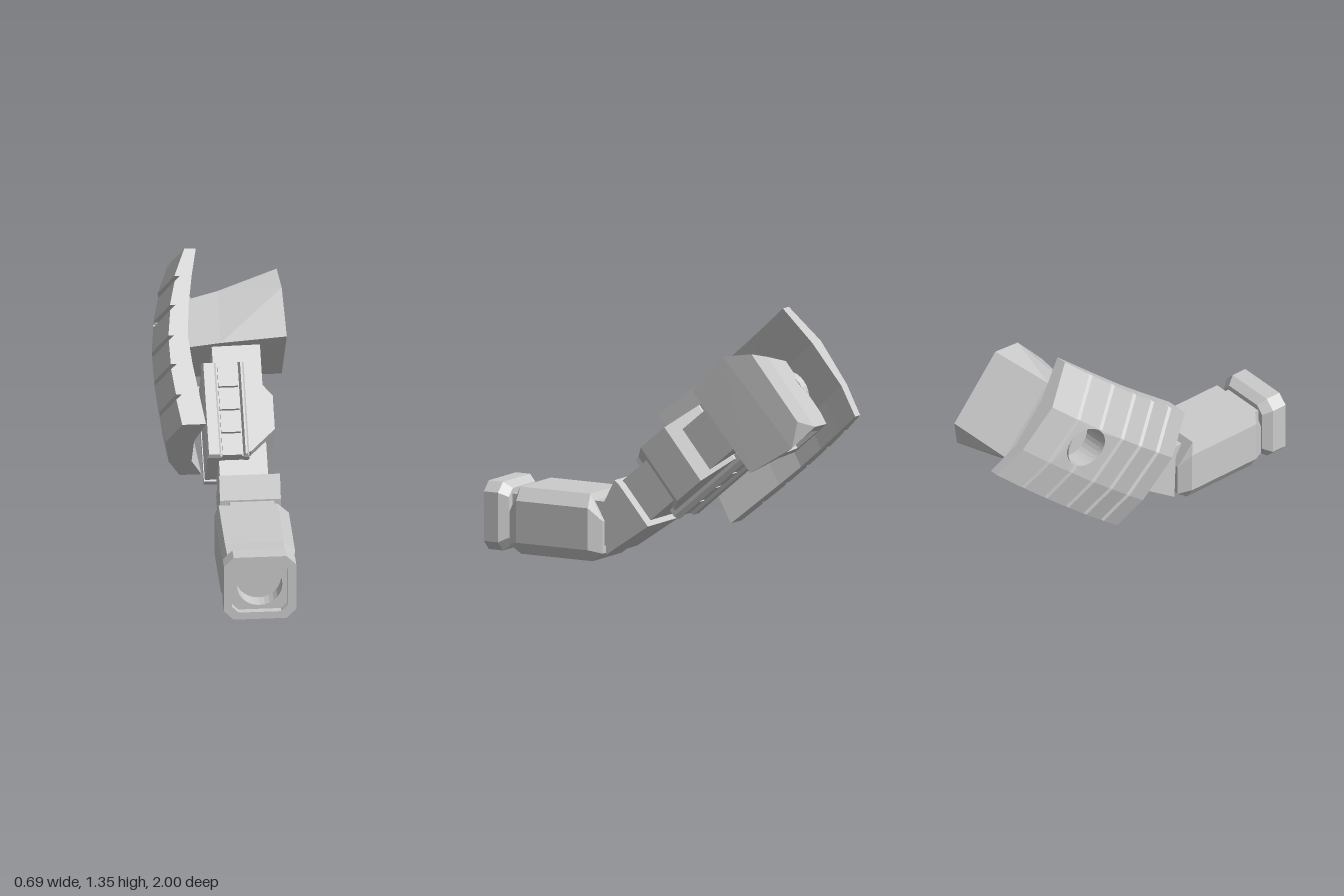
import * as THREE from 'three';
import { ConvexGeometry } from 'three/addons/geometries/ConvexGeometry.js';

const mat = new THREE.MeshStandardMaterial({ color: 0xcccccc, flatShading: true, side: THREE.DoubleSide });

function add(parent, name, geometry) {
  const m = new THREE.Mesh(geometry, mat);
  m.name = name;
  parent.add(m);
}
const hull = (pts) => new ConvexGeometry(pts.map((p) => new THREE.Vector3(...p)));

// Box given by its limits on each axis
function block(x0, x1, y0, y1, z0, z1) {
  return new THREE.BoxGeometry(x1 - x0, y1 - y0, z1 - z0)
    .translate((x0 + x1) / 2, (y0 + y1) / 2, (z0 + z1) / 2);
}
// Eight corners of a box, for hulls
function corners(x0, x1, y0, y1, z0, z1) {
  const out = [];
  for (const x of [x0, x1]) for (const y of [y0, y1]) for (const z of [z0, z1]) out.push([x, y, z]);
  return out;
}
// Extrude a shape by 1 and move every vertex by a rule
function shaped(shape, rule) {
  const g = new THREE.ExtrudeGeometry(shape, { depth: 1, bevelEnabled: false, curveSegments: 14 });
  const p = g.attributes.position;
  for (let i = 0; i < p.count; i++) p.setXYZ(i, ...rule(p.getX(i), p.getY(i), p.getZ(i)));
  g.computeVertexNormals();
  return g;
}
// Piecewise linear lookup
function lerpTable(keys, vals, t) {
  let i = 0;
  while (i < keys.length - 2 && t > keys[i + 1]) i++;
  return vals[i] + (vals[i + 1] - vals[i]) * (t - keys[i]) / (keys[i + 1] - keys[i]);
}
const poly = (pts) => new THREE.Shape(pts.map((p) => new THREE.Vector2(...p)));
const octagon = (w, h, c) => [[-w + c, -h], [w - c, -h], [w, -h + c], [w, h - c],
  [w - c, h], [-w + c, h], [-w, h - c], [-w, -h + c]];

function buildMuzzle(root) {
  const cx = 0.103, cy = 0.19;
  const rim = poly(octagon(0.187, 0.18, 0.05));
  rim.holes.push(poly(octagon(0.145, 0.14, 0.035)));
  add(root, 'muzzleRim', shaped(rim, (x, y, d) => [cx + x, cy + y, 0.965 + 0.035 * d]));
  const bored = poly(octagon(0.187, 0.18, 0.05));
  bored.holes.push(new THREE.Path().absarc(0, 0, 0.118, 0, Math.PI * 2, true));
  add(root, 'muzzleBody', shaped(bored, (x, y, d) => [cx + x, cy + y, 0.915 + 0.05 * d]));
  add(root, 'muzzleTaper', shaped(bored, (x, y, d) => {
    const k = d < 0.5 && Math.hypot(x, y) > 0.13 ? 0.82 : 1;
    return [cx + x * k, cy + y * k, 0.87 + 0.045 * d];
  }));
  add(root, 'muzzleNeck', block(-0.02, 0.22, 0.05, 0.31, 0.78, 0.88));
}

function buildForearm(root) {
  add(root, 'forearm', hull([
    ...corners(-0.085, 0.3, 0.07, 0.29, 0.37, 0.8),
    ...corners(-0.065, 0.24, 0.35, 0.355, 0.39, 0.81),
    ...corners(-0.04, 0.25, 0.005, 0.012, 0.37, 0.8),
    ...corners(-0.04, 0.25, 0.05, 0.22, 0.31, 0.87),
  ]));
  add(root, 'wrist', block(0, 0.23, 0.09, 0.32, 0.26, 0.4));
  const profile = [[0.28, 0.05], [0.29, 0.33], [0.23, 0.445], [0.2, 0.42], [0.03, 0.22]];
  add(root, 'elbow', hull(profile.flatMap(([z, y]) => [[-0.05, y, z], [0.265, y, z]])));
}

// The tilted upper arm: u runs up the arm (local -z), v across it (local y)
function buildUpperArm(arm) {
  add(arm, 'upperArm', block(-0.045, 0.205, -0.165, 0.09, -0.55, 0.21));
  add(arm, 'armHousing', block(-0.105, 0.1, -0.2, 0.14, -0.385, 0.12));
  // Bevelled plate on the outer side
  const plan = [[0.08, -0.11], [0.12, -0.1], [0.25, 0.02], [0.25, 0.205], [0.12, 0.37], [0.08, 0.38]];
  add(arm, 'sidePlate', hull(plan.flatMap(([x, u]) => [[x, 0.15, -u], [x, -0.19, -u]])));
  // Rails with a row of four panels between them, above and below
  for (const s of [1, -1]) {
    const ladder = new THREE.Group();
    ladder.name = s > 0 ? 'upperLadder' : 'lowerLadder';
    const at = (h) => -0.03 + s * h;
    for (const [x0, x1] of [[-0.11, -0.035], [0.08, 0.11]]) {
      add(ladder, 'rail', hull([
        ...corners(x0, x1, at(0.14), at(0.18), -0.4, 0.13),
        ...corners(x0 + 0.01, x1 - 0.01, at(0.195), at(0.205), -0.39, 0.12),
      ]));
    }
    const [low, high] = [at(0.14), at(0.19)].sort((a, b) => a - b);
    for (let i = 0; i < 4; i++) {
      const u = -0.12 + i * 0.128;
      add(ladder, 'panel', block(-0.028, 0.073, low, high, -u - 0.113, -u));
    }
    arm.add(ladder);
  }
}

function buildShoulder(arm) {
  // Top and bottom of the narrow inner part at a given x
  const top = (x) => 0.135 + 0.2 * x;
  const bottom = (x) => -0.31 - 0.05 * x;
  // Outer block, widening from the inner frame to the end face
  const end = [[0.52, 0.18], [0.78, 0.215], [0.92, 0.13], [0.92, -0.3], [0.81, -0.39], [0.53, -0.35]];
  add(arm, 'shoulderBlock', hull([
    ...end.map(([u, v]) => [0.34 - Math.max(0, u - 0.65) * 0.1, v, -u]),
    ...corners(0, 0.001, bottom(0), top(0), -0.805, -0.515),
  ]));
  // Inner frame, open below, with a roof over the opening
  const frame = poly([[-0.19, 0.51], [0, 0.515], [0, 0.805], [-0.19, 0.77]]);
  frame.holes.push(poly([[-0.15, 0.56], [-0.15, 0.72], [-0.03, 0.75], [-0.03, 0.56]]));
  add(arm, 'shoulderFrame', shaped(frame, (x, u, d) => [x, d > 0.5 ? top(x) : bottom(x), -u]));
  const roof = poly([[-0.15, 0.56], [-0.03, 0.56], [-0.03, 0.75], [-0.15, 0.72]]);
  add(arm, 'shoulderRoof', shaped(roof, (x, u, d) => [x, d > 0.5 ? top(x) : -0.05, -u]));
}

function buildShield(arm) {
  const shield = new THREE.Group();
  shield.name = 'shield';
  arm.add(shield);
  const U = [0, 0.17, 0.34, 0.5, 0.67, 0.83, 0.98], V = [-0.385, -0.2, 0.07, 0.3];
  const base = [-0.238, -0.26, -0.277, -0.28, -0.262, -0.23, -0.17];
  const inner = [-0.115, -0.14, -0.165, -0.18, -0.165, -0.14, -0.11];
  const xOut = (u, v) => lerpTable(U, base, u) + lerpTable(V, [0.02, -0.045, -0.075, 0], v);
  const xIn = (u, v) => lerpTable(U, inner, u) + lerpTable(V, [0.01, -0.05, -0.05, 0], v);
  // Round hole, centred on the seam between the fourth and fifth bands
  const hu = U[4], hv = -0.045, r = 0.11, q = Math.PI / 2;

  for (let i = 0; i < 6; i++) for (let j = 0; j < 3; j++) {
    const [u0, u1, v0, v1] = [U[i], U[i + 1], V[j], V[j + 1]];
    // Panels beside the hole have a half circle cut out
    const s = new THREE.Shape().moveTo(u0, v0).lineTo(u1, v0);
    if (j === 1 && u1 === hu) s.lineTo(hu, hv - r).absarc(hu, hv, r, -q, q, true);
    s.lineTo(u1, v1).lineTo(u0, v1);
    if (j === 1 && u0 === hu) s.lineTo(hu, hv + r).absarc(hu, hv, r, q, -q, true);
    add(shield, 'shieldBacking', shaped(s, (u, v, d) => [d > 0.5 ? xIn(u, v) : xOut(u, v) + 0.03, v, -u]));
    // Armour band, sloped at its upper edge to leave a notch
    add(shield, 'shieldBand', shaped(s, (u, v, d) => {
      const cut = d < 0.5 && i < 5 && u > u1 - 1e-4 ? 0.028 : 0;
      return [xOut(u, v) + 0.03 * d, v, -u + cut];
    }));
  }
  // Socket behind the hole
  const tube = new THREE.CylinderGeometry(r, r, 0.12, 28, 1, true).rotateZ(q).translate(-0.25, hv, -hu);
  add(shield, 'socketWall', tube);
  add(shield, 'socketFloor', new THREE.CylinderGeometry(0.11, 0.12, 0.04, 28).rotateZ(-q).translate(-0.18, hv, -hu));
}

export function createModel() {
  const root = new THREE.Group();
  root.name = 'mechanicalArm';
  buildMuzzle(root);
  buildForearm(root);
  const arm = new THREE.Group();
  arm.name = 'tiltedUpperArm';
  arm.position.y = 0.5;
  arm.rotation.x = 0.698;
  root.add(arm);
  buildUpperArm(arm);
  buildShoulder(arm);
  buildShield(arm);
  return root;
}
